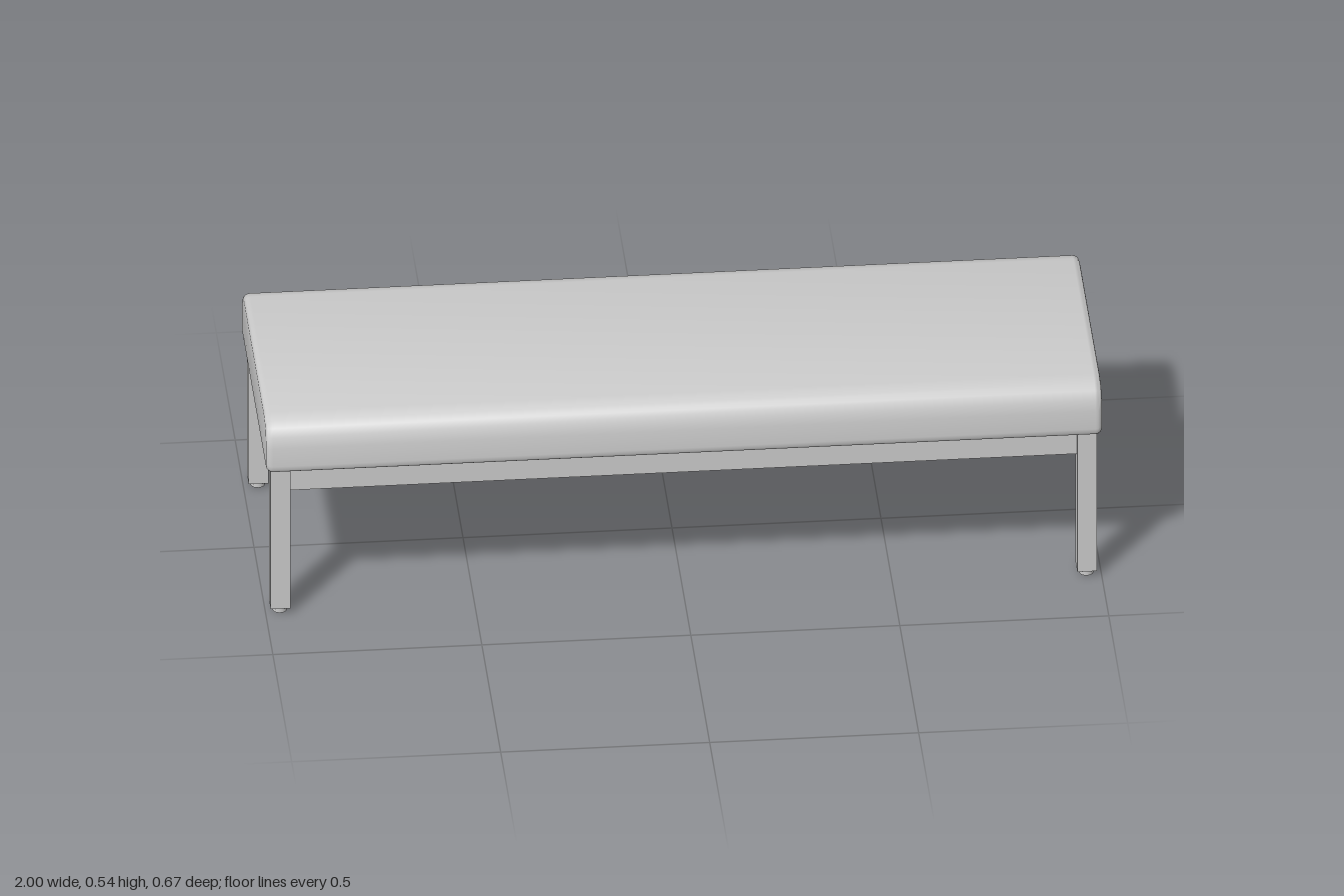
import * as THREE from 'three';
import { toCreasedNormals } from 'three/addons/utils/BufferGeometryUtils.js';

const material = new THREE.MeshStandardMaterial({ color: 0xcccccc });

function addMesh(parent, name, geometry, x, y, z) {
  const mesh = new THREE.Mesh(geometry, material);
  mesh.name = name;
  mesh.position.set(x, y, z);
  parent.add(mesh);
  return mesh;
}

// Cushion: a rounded z-y profile swept along x, shrinking slightly at both ends
function cushionGeometry() {
  const half = [ // from bottom edge to top edge, [z, y]
    [0.322, 0.402], [0.329, 0.404], [0.333, 0.41], [0.333, 0.42], [0.331, 0.468],
    [0.325, 0.495], [0.314, 0.515], [0.298, 0.527], [0.268, 0.535],
  ];
  const profile = [
    ...half.map(([z, y]) => [-z, y]),
    ...half.slice().reverse(),
  ];
  const midY = 0.4685, halfY = 0.0665, halfZ = 0.333, round = 0.016;

  // Stations along x: [x, inset], a quarter round at each end
  const end = [0, 1, 2, 3, 4].map((i) => {
    const a = (i / 4) * Math.PI / 2;
    return [1 - round + round * Math.sin(a), round * (1 - Math.cos(a)) * 0.75];
  });
  const stations = [...end.slice().reverse().map(([x, d]) => [-x, d]), ...end];

  const positions = [], index = [], n = profile.length;
  for (const [x, d] of stations) {
    for (const [z, y] of profile) {
      positions.push(x, midY + (y - midY) * (1 - d / halfY), z * (1 - d / halfZ));
    }
  }
  for (let s = 0; s < stations.length - 1; s++) {
    for (let j = 0; j < n; j++) {
      const a = s * n + j, b = s * n + (j + 1) % n;
      index.push(a, b, a + n, b, b + n, a + n);
    }
  }
  // End caps
  const left = positions.length / 3, right = left + 1;
  positions.push(1, midY, 0, -1, midY, 0);
  const last = (stations.length - 1) * n;
  for (let j = 0; j < n; j++) {
    const k = (j + 1) % n;
    index.push(left, last + j, last + k, right, k, j);
  }
  const geometry = new THREE.BufferGeometry();
  geometry.setAttribute('position', new THREE.Float32BufferAttribute(positions, 3));
  geometry.setIndex(index);
  return toCreasedNormals(geometry, Math.PI / 4);
}

export function createModel() {
  const bench = new THREE.Group();
  bench.name = 'bench';

  addMesh(bench, 'cushion', cushionGeometry(), 0, 0, 0);

  const seatY = 0.402, railBottom = 0.335, footTop = 0.015;
  const legX = 0.965, legZ = 0.2915, legSize = 0.047, railThickness = 0.02;

  // Square legs with small round feet
  const legGeometry = new THREE.BoxGeometry(legSize, seatY - footTop, legSize);
  const footGeometry = new THREE.CylinderGeometry(0.017, 0.017, footTop, 20);
  for (const sx of [1, -1]) {
    for (const sz of [1, -1]) {
      const name = (sz > 0 ? 'front' : 'back') + (sx > 0 ? 'Left' : 'Right');
      addMesh(bench, name + 'Leg', legGeometry, sx * legX, (seatY + footTop) / 2, sz * legZ);
      addMesh(bench, name + 'Foot', footGeometry, sx * legX, footTop / 2, sz * legZ);
    }
  }

  // Rails between the legs, under the cushion
  const railHeight = seatY - railBottom, railY = (seatY + railBottom) / 2;
  const longRail = new THREE.BoxGeometry(2 * legX - legSize, railHeight, railThickness);
  const endRail = new THREE.BoxGeometry(railThickness, railHeight, 2 * legZ - legSize);
  for (const s of [1, -1]) {
    addMesh(bench, s > 0 ? 'frontRail' : 'backRail', longRail, 0, railY, s * legZ);
    addMesh(bench, s > 0 ? 'leftRail' : 'rightRail', endRail, s * legX, railY, 0);
  }
  return bench;
}
